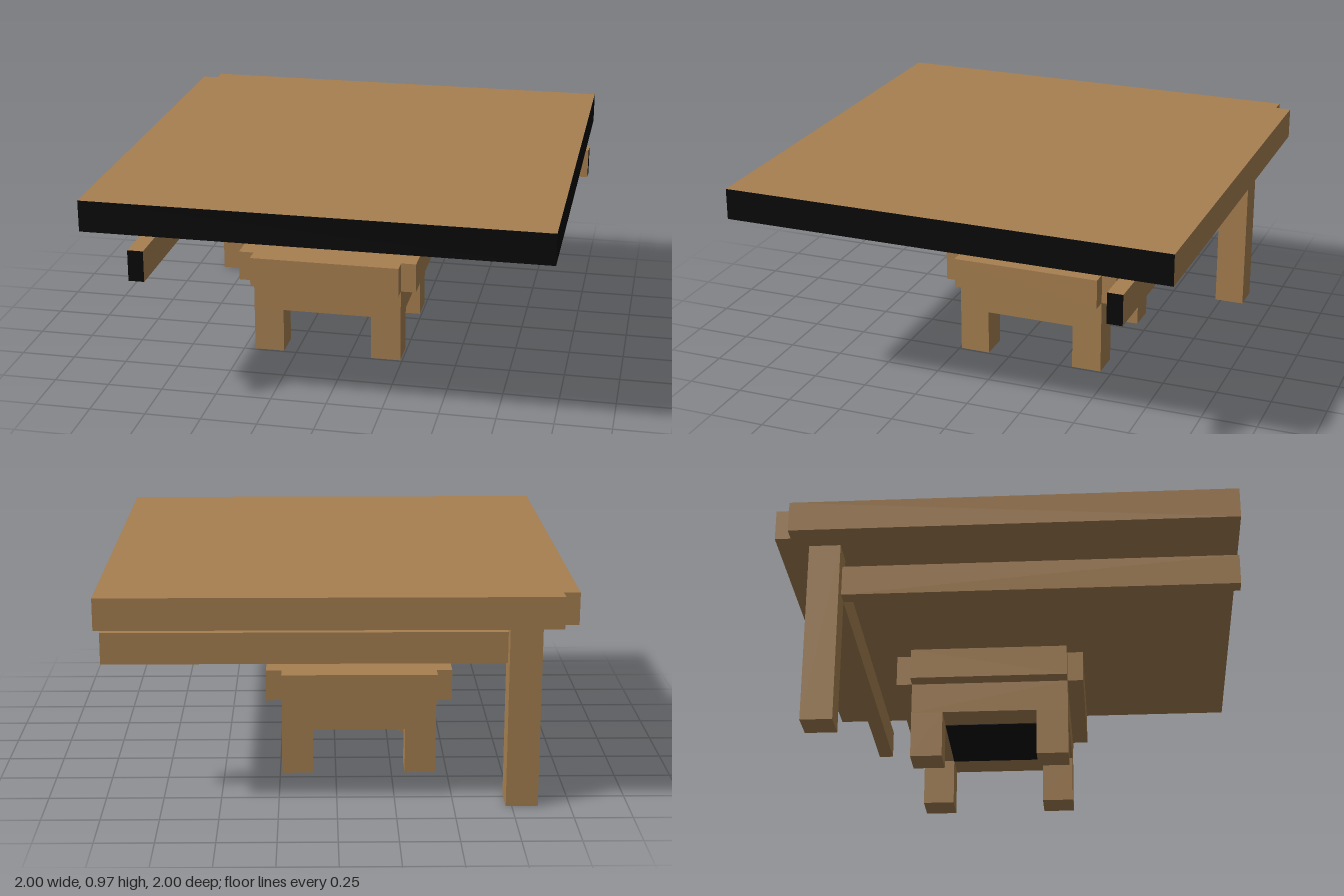
import * as THREE from 'three';

// The table and stool sit on a 29 x 29 grid of square units
const U = 2 / 29;
const wood = new THREE.MeshStandardMaterial({ color: 0xa67f50 });
wood.name = 'wood';
const black = new THREE.MeshStandardMaterial({ color: 0x080808 });
black.name = 'black';

// Box from grid corners; blackFaces lists box sides (0 = +x, 4 = +z) painted black
function block(name, [x0, y0, z0], [x1, y1, z1], blackFaces = []) {
  const geo = new THREE.BoxGeometry((x1 - x0) * U, (y1 - y0) * U, (z1 - z0) * U);
  const mats = [0, 1, 2, 3, 4, 5].map((i) => (blackFaces.includes(i) ? black : wood));
  const mesh = new THREE.Mesh(geo, blackFaces.length ? mats : wood);
  mesh.position.set(((x0 + x1) / 2) * U - 1, ((y0 + y1) / 2) * U, ((z0 + z1) / 2) * U - 1);
  mesh.name = name;
  return mesh;
}

// Flat slab from a grid outline of [x, z] corners
function slabGeometry(outline, y0, y1) {
  const shape = new THREE.Shape(outline.map(([x, z]) => new THREE.Vector2(x * U - 1, 1 - z * U)));
  const geo = new THREE.ExtrudeGeometry(shape, { depth: (y1 - y0) * U, bevelEnabled: false });
  return geo.rotateX(-Math.PI / 2).translate(0, y0 * U, 0);
}

function createTable() {
  const table = new THREE.Group();
  table.name = 'table';

  // Tabletop with a notched back corner and black +x and +z edges
  const geo = slabGeometry([[1, 0], [29, 0], [29, 29], [0, 29], [0, 1], [1, 1]], 12, 14);
  const pos = geo.attributes.position;
  geo.clearGroups();
  for (let i = 0; i < pos.count; i += 3) {
    const onEdge = (axis) => [0, 1, 2].every((k) => pos.getComponent(i + k, axis) > 0.999);
    geo.addGroup(i, 3, onEdge(0) || onEdge(2) ? 1 : 0);
  }
  const top = new THREE.Mesh(geo, [wood, black]);
  top.name = 'tabletop';

  // Corner leg and the two rails that run from it
  table.add(
    top,
    block('tableLeg', [2, 0, 2], [4, 12, 4]),
    block('backRail', [4, 9, 3], [29, 11, 4], [0]),
    block('sideRail', [3, 9, 4], [4, 11, 29], [4]),
  );
  return table;
}

function createStool() {
  const stool = new THREE.Group();
  stool.name = 'stool';

  // Seat with four notched corners
  const seat = new THREE.Mesh(slabGeometry([
    [8, 7], [18, 7], [18, 8], [19, 8], [19, 18], [18, 18],
    [18, 19], [8, 19], [8, 18], [7, 18], [7, 8], [8, 8],
  ], 5, 7), wood);
  seat.name = 'seat';
  stool.add(seat, block('apron', [8, 3, 8], [18, 5, 18]));

  // Black panel under the seat
  const panel = new THREE.Mesh(new THREE.BoxGeometry(6 * U, 0.004, 6 * U), black);
  panel.position.set(13 * U - 1, 3 * U - 0.001, 13 * U - 1);
  panel.name = 'undersidePanel';
  stool.add(panel);

  for (const x of [8, 16]) {
    for (const z of [8, 16]) stool.add(block('stoolLeg', [x, 0, z], [x + 2, 3, z + 2]));
  }
  return stool;
}

export function createModel() {
  const model = new THREE.Group();
  model.name = 'tableAndStool';
  model.add(createTable(), createStool());
  return model;
}
